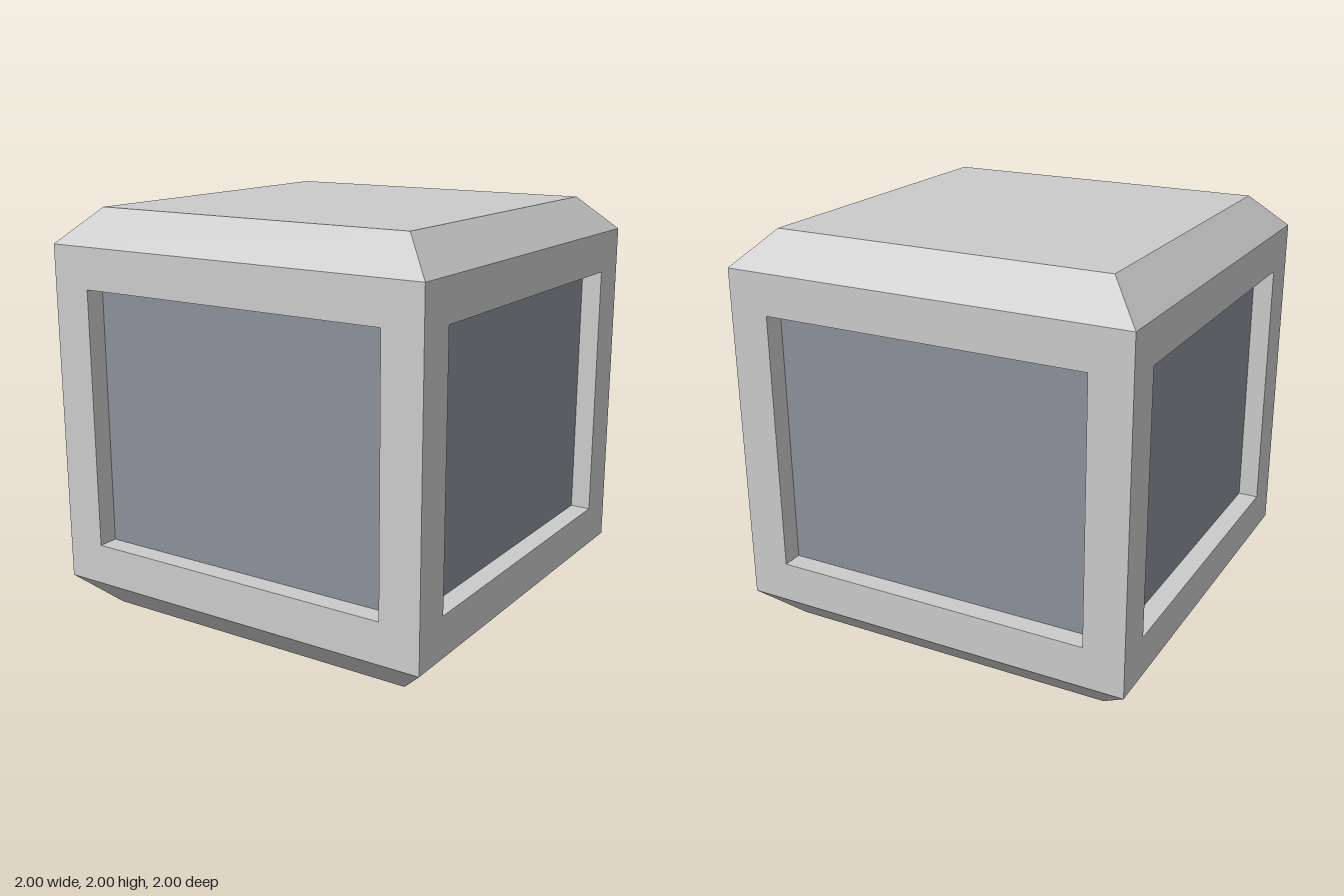
import * as THREE from 'three';

const BEVEL = 0.167; // height and inset of the top and bottom caps
const BORDER = 0.2;  // frame width around each window
const DEPTH = 0.1;   // window recess

const rectPoints = (w, h) => [
  [-w, -h], [w, -h], [w, h], [-w, h],
].map(([x, y]) => new THREE.Vector2(x, y));

// Wall slab with a window opening, mitred at the corners so four meet cleanly
function wallGeometry(halfW, halfH) {
  const shape = new THREE.Shape(rectPoints(1, 1 - BEVEL));
  shape.holes.push(new THREE.Path(rectPoints(halfW, halfH).reverse()));
  const geo = new THREE.ExtrudeGeometry(shape, { depth: DEPTH, bevelEnabled: false });
  const pos = geo.attributes.position;
  for (let i = 0; i < pos.count; i++) {
    const x = pos.getX(i);
    if (pos.getZ(i) < DEPTH / 2 && Math.abs(x) > 0.99) pos.setX(i, Math.sign(x) * (1 - DEPTH));
  }
  geo.translate(0, 1, 1 - DEPTH);
  geo.computeVertexNormals();
  return geo;
}

export function createModel() {
  const group = new THREE.Group();
  const body = new THREE.MeshStandardMaterial({ color: 0xcccccc, flatShading: true });
  const glass = new THREE.MeshStandardMaterial({ color: 0x8c929b, flatShading: true });

  const halfW = 1 - BORDER;
  const halfH = 1 - BEVEL - BORDER;
  const wallGeo = wallGeometry(halfW, halfH);
  const paneGeo = new THREE.PlaneGeometry(halfW * 2, halfH * 2).translate(0, 1, 1 - DEPTH);

  // Four identical sides: frame and recessed pane
  ['front', 'left', 'back', 'right'].forEach((side, i) => {
    const wall = new THREE.Mesh(wallGeo, body);
    wall.name = side + 'Frame';
    const pane = new THREE.Mesh(paneGeo, glass);
    pane.name = side + 'Pane';
    wall.rotation.y = pane.rotation.y = i * Math.PI / 2;
    group.add(wall, pane);
  });

  // Tapered square caps, the lower one upside down
  const capGeo = new THREE.CylinderGeometry((1 - BEVEL) * Math.SQRT2, Math.SQRT2, BEVEL, 4)
    .rotateY(Math.PI / 4);
  const top = new THREE.Mesh(capGeo, body);
  top.name = 'topCap';
  top.position.y = 2 - BEVEL / 2;
  const bottom = new THREE.Mesh(capGeo, body);
  bottom.name = 'bottomCap';
  bottom.position.y = BEVEL / 2;
  bottom.rotation.x = Math.PI;
  group.add(top, bottom);

  return group;
}
